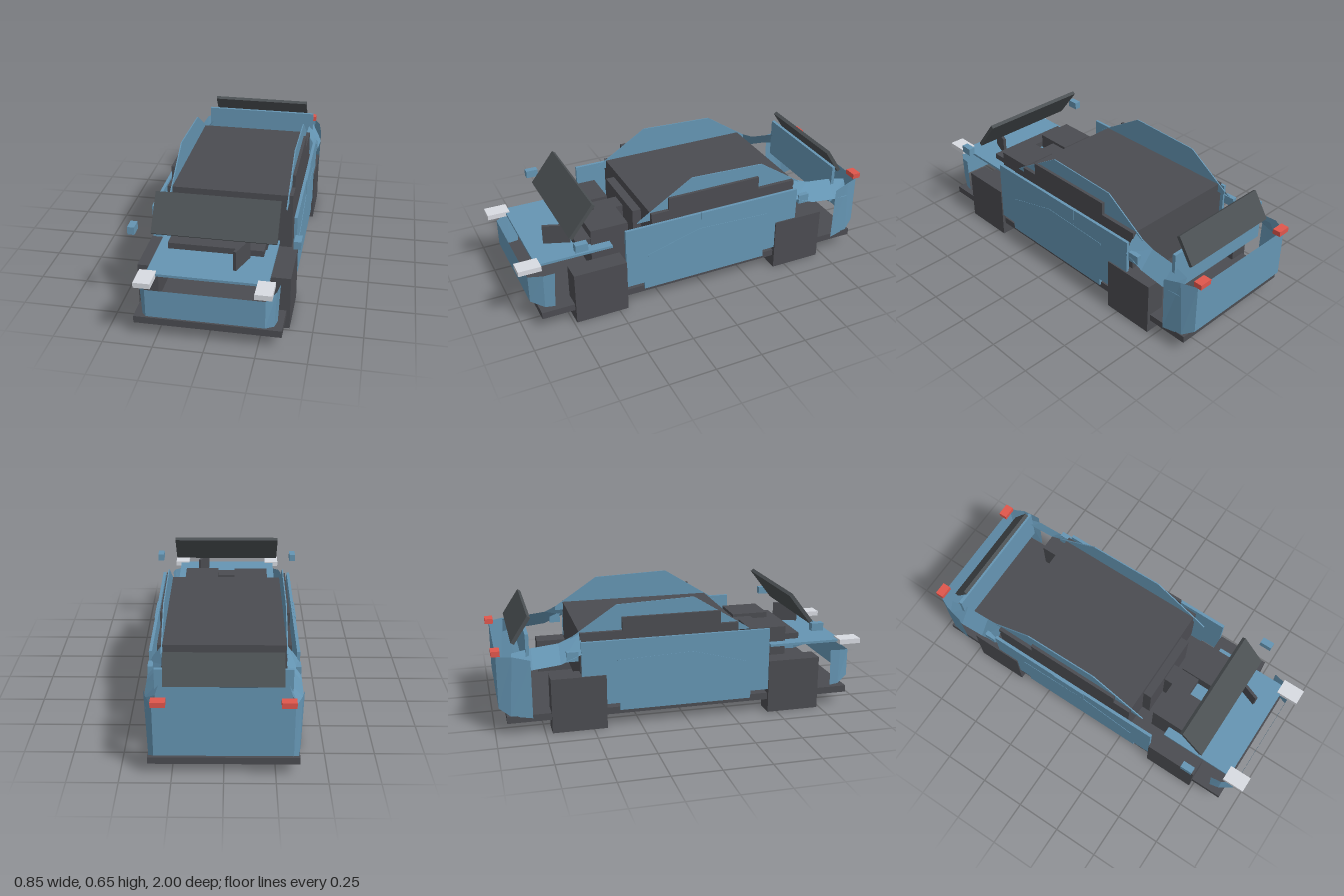
import * as THREE from 'three';

const mat = (name, color) => {
  const m = new THREE.MeshStandardMaterial({ color, side: THREE.DoubleSide });
  m.name = name;
  return m;
};

export function createModel() {
  const car = new THREE.Group();
  car.name = 'car';
  const blue = mat('bodyBlue', 0x6595b3);
  const dark = mat('darkTrim', 0x4b4c51);
  const glass = mat('glass', 0x4b5053);
  const red = mat('tailRed', 0xe0564c);
  const silver = mat('lampSilver', 0xd8dbe2);

  const add = (name, geo, material) => {
    const m = new THREE.Mesh(geo, material);
    m.name = name;
    car.add(m);
    return m;
  };
  // Box given by its limits on each axis
  const box = (name, material, [x0, x1], [y0, y1], [z0, z1]) => {
    const m = add(name, new THREE.BoxGeometry(x1 - x0, y1 - y0, z1 - z0), material);
    m.position.set((x0 + x1) / 2, (y0 + y1) / 2, (z0 + z1) / 2);
  };
  // The same box on the left and the right
  const pair = (name, material, [x0, x1], ys, zs) => {
    box(name + 'Left', material, [x0, x1], ys, zs);
    box(name + 'Right', material, [-x1, -x0], ys, zs);
  };
  // Upright plate with a [z, y] outline, on both sides, between x0 and x1
  const sidePlates = (name, material, outline, x0, x1) => {
    const shape = new THREE.Shape(outline.map(([z, y]) => new THREE.Vector2(-z, y)));
    for (const [side, x] of [['Left', x0], ['Right', -x1]]) {
      const geo = new THREE.ExtrudeGeometry(shape, { depth: x1 - x0, bevelEnabled: false });
      geo.rotateY(Math.PI / 2);
      add(name + side, geo, material).position.x = x;
    }
  };
  // Open sheet between two rows of points
  const sheet = (name, material, lower, upper) => {
    const p = [];
    for (let i = 0; i < lower.length - 1; i++) {
      const [a, b, c, d] = [lower[i], lower[i + 1], upper[i + 1], upper[i]];
      p.push(...a, ...b, ...c, ...a, ...c, ...d);
    }
    const geo = new THREE.BufferGeometry();
    geo.setAttribute('position', new THREE.Float32BufferAttribute(p, 3));
    geo.computeVertexNormals();
    add(name, geo, material);
  };
  const flip = (pts) => pts.map(([x, y, z]) => [-x, y, z]).reverse();

  // Chassis and block wheels
  box('floorPan', dark, [-0.365, 0.365], [0.068, 0.105], [-0.94, 0.91]);
  box('underTray', dark, [-0.23, 0.23], [0.028, 0.068], [-0.4, 0.42]);
  pair('frontWheel', dark, [0.28, 0.383], [0, 0.29], [0.45, 0.735]);
  pair('rearWheel', dark, [0.28, 0.383], [0, 0.29], [-0.715, -0.43]);

  // Cabin block, roof sides and raised side windows
  box('cabin', dark, [-0.334, 0.334], [0.2, 0.506], [-0.555, 0.288]);
  box('dashboard', dark, [-0.19, 0.19], [0.2, 0.46], [0.28, 0.335]);
  pair('sideWindow', dark, [0.318, 0.334], [0.5, 0.576], [-0.335, 0.19]);
  sidePlates('roofSide', blue,
    [[0.36, 0.46], [0.34, 0.475], [0.05, 0.655], [-0.36, 0.64], [-0.6, 0.48], [-0.6, 0.46]],
    0.308, 0.314);

  // Doors with a raised crease and handle panel
  sidePlates('door', blue,
    [[0.45, 0.13], [0.35, 0.13], [0.35, 0.09], [-0.36, 0.09], [-0.36, 0.13],
      [-0.555, 0.13], [-0.555, 0.47], [0.45, 0.47]], 0.36, 0.376);
  sidePlates('doorCrease', blue,
    [[0.33, 0.29], [0.03, 0.365], [-0.37, 0.355], [-0.37, 0.365], [0.03, 0.38], [0.33, 0.3]],
    0.375, 0.378);
  pair('doorHandlePanel', blue, [0.37, 0.379], [0.385, 0.472], [-0.165, 0.025]);

  // Engine bay and bonnet
  pair('engineBlock', dark, [0.05, 0.245], [0.2, 0.436], [0.385, 0.59]);
  box('engineCentre', dark, [-0.05, 0.05], [0.2, 0.42], [0.3, 0.49]);
  box('engineFront', dark, [-0.24, 0.24], [0.36, 0.392], [0.59, 0.67]);
  box('bonnet', blue, [-0.295, 0.295], [0.34, 0.353], [0.49, 0.9]);
  const fin = add('bonnetFin', new THREE.BoxGeometry(0.015, 0.14, 0.14), dark);
  fin.position.set(0.143, 0.387, 0.74);
  fin.rotation.y = -0.35;

  // Tilted windscreen and rear window
  const screen = add('windscreen', new THREE.BoxGeometry(0.62, 0.21, 0.02), glass);
  screen.position.set(0, 0.546, 0.652);
  screen.rotation.x = -0.66;
  const rear = add('rearWindow', new THREE.BoxGeometry(0.57, 0.16, 0.02), glass);
  rear.position.set(0, 0.53, -0.845);
  rear.rotation.x = 0.58;

  // Front bumper: flat face with swept corners
  const frontLow = [[0.29, 0.14, 0.947], [0.325, 0.107, 0.88], [0.335, 0.105, 0.83]];
  const frontTop = [[0.29, 0.29, 0.947], [0.335, 0.305, 0.88], [0.345, 0.312, 0.82]];
  sheet('frontBumper', blue, [...flip(frontLow), ...frontLow], [...flip(frontTop), ...frontTop]);

  // Rear bumper and hatch
  const rearLow = [[0.375, 0.09, -0.81], [0.36, 0.105, -0.92], [0.33, 0.142, -0.977]];
  const rearTop = [[0.383, 0.4, -0.81], [0.365, 0.42, -0.9], [0.33, 0.415, -0.977]];
  sheet('rearBumper', blue, [...rearLow, ...flip(rearLow)], [...rearTop, ...flip(rearTop)]);
  box('hatch', blue, [-0.328, 0.328], [0.3, 0.52], [-0.828, -0.81]);

  // Sloping rear shoulders
  const inner = [[0.312, 0.505, -0.55], [0.305, 0.455, -0.66], [0.305, 0.44, -0.8], [0.32, 0.425, -0.9]];
  const outer = [[0.378, 0.41, -0.55], [0.381, 0.365, -0.66], [0.383, 0.35, -0.8], [0.365, 0.337, -0.9]];
  sheet('shoulderLeft', blue, outer, inner);
  sheet('shoulderRight', blue, flip(outer), flip(inner));
  pair('fuelFlap', blue, [0.352, 0.378], [0.375, 0.425], [-0.63, -0.57]);

  // Mirrors and lamps
  pair('mirror', blue, [0.39, 0.425], [0.455, 0.496], [0.665, 0.73]);
  pair('headlamp', silver, [0.245, 0.328], [0.333, 0.36], [0.88, 1]);
  pair('tailLamp', red, [0.265, 0.335], [0.417, 0.445], [-1, -0.955]);

  return car;
}
